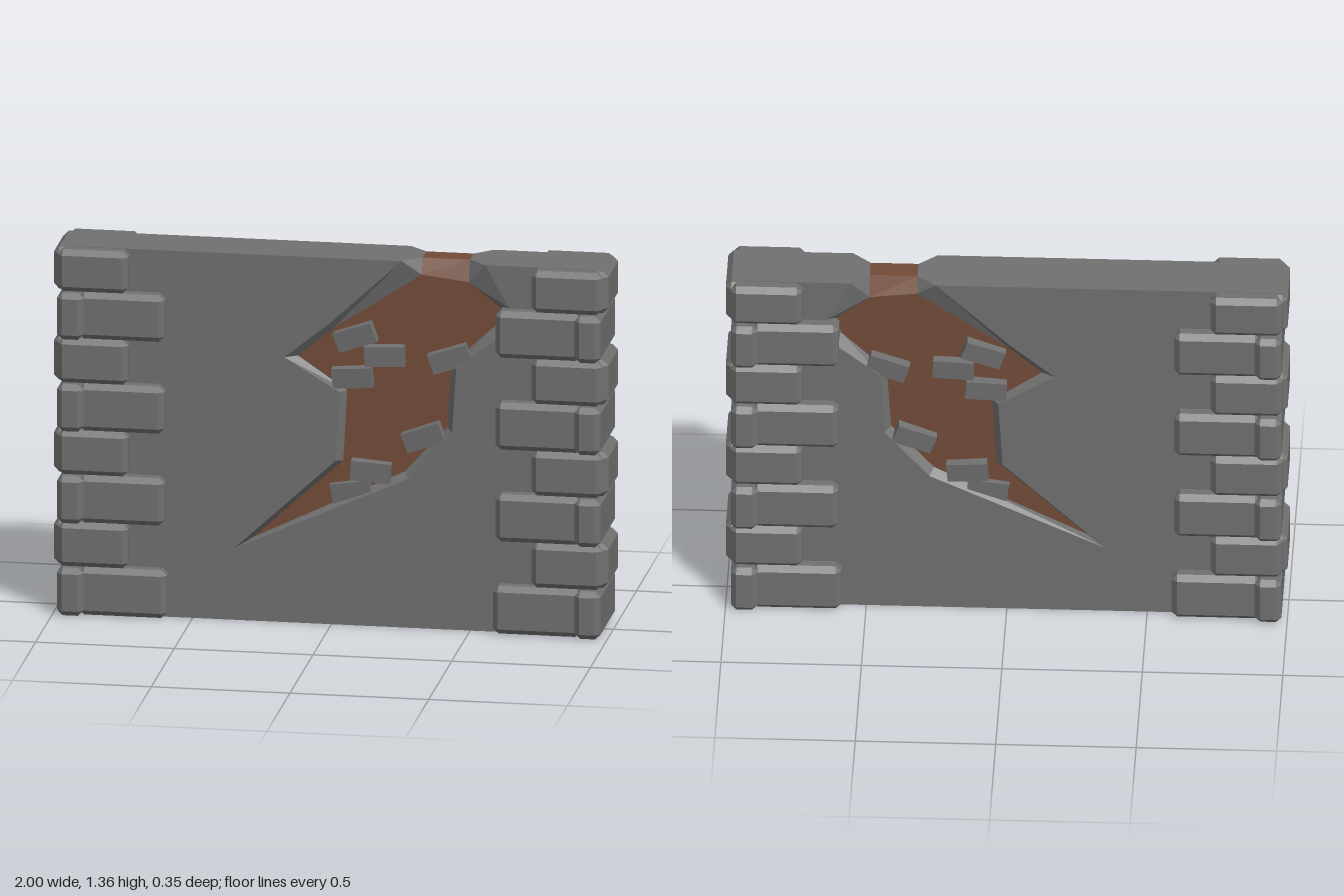
import * as THREE from 'three';
import { ConvexGeometry } from 'three/addons/geometries/ConvexGeometry.js';

const H = 1.355, WALL_X = 0.95, FACE_Z = 0.1, CORE_Z = 0.07, RIDGE_Z = 0.04;

// Break in the wall, from top left round to top right: rim on the face, then edge of the core
const rim = [[0.254, H], [-0.01, 1.11], [-0.17, 0.98], [0.03, 0.86], [0.015, 0.605], [-0.35, 0.265],
  [0.275, 0.55], [0.435, 0.73], [0.45, 0.97], [0.605, 1.09], [0.64, 1.2], [0.555, H]];
const core = [[0.32, 1.3], [0.0, 1.085], [-0.125, 0.98], [0.052, 0.86], [0.038, 0.6], [-0.285, 0.302],
  [0.26, 0.57], [0.413, 0.74], [0.428, 0.975], [0.592, 1.13], [0.605, 1.19], [0.49, 1.28]];

function shapeOf(points) {
  return new THREE.Shape(points.map(([x, y]) => new THREE.Vector2(x, y)));
}

// Flat-shaded surface from convex polygons
function facets(polygons) {
  const pos = [];
  for (const p of polygons) {
    for (let i = 1; i < p.length - 1; i++) pos.push(...p[0], ...p[i], ...p[i + 1]);
  }
  const g = new THREE.BufferGeometry();
  g.setAttribute('position', new THREE.Float32BufferAttribute(pos, 3));
  g.computeVertexNormals();
  return g;
}

// Flat outline facing the front (s = 1) or the back (s = -1)
function outline(shape, s, z) {
  const g = new THREE.ShapeGeometry(shape);
  if (s < 0) {
    g.index.array.reverse();
    g.computeVertexNormals();
  }
  return g.translate(0, 0, z);
}

// Box with every edge cut off
function chamferBox(w, h, d, c) {
  const pts = [];
  for (const sx of [-1, 1]) for (const sy of [-1, 1]) for (const sz of [-1, 1]) {
    for (let k = 0; k < 3; k++) {
      const cut = [c, c, c];
      cut[k] = 0;
      pts.push(new THREE.Vector3(sx * (w / 2 - cut[0]), sy * (h / 2 - cut[1]), sz * (d / 2 - cut[2])));
    }
  }
  return new ConvexGeometry(pts);
}

export function createModel() {
  const model = new THREE.Group();
  const material = (name, color) => {
    const m = new THREE.MeshStandardMaterial({ color, side: THREE.DoubleSide });
    m.name = name;
    return m;
  };
  const stone = material('grey stone', 0x707070);
  const clay = material('brown clay', 0x724b38);
  const grass = material('green grass', 0x8cb858);

  function add(name, geometry, mat, parent = model) {
    const mesh = new THREE.Mesh(geometry, mat);
    mesh.name = name;
    parent.add(mesh);
    return mesh;
  }

  // Plaster faces, broken rim and exposed core on both sides
  const faceShape = shapeOf([[-WALL_X, H], [-WALL_X, 0], [WALL_X, 0], [WALL_X, H], ...rim.slice().reverse()]);
  const coreShape = shapeOf(core);
  for (const s of [1, -1]) {
    const side = s > 0 ? 'front' : 'back';
    const rimZ = s * FACE_Z, coreZ = s * CORE_Z, ridge = s * RIDGE_Z;
    add(side + 'Face', outline(faceShape, s, rimZ), stone);
    add(side + 'Core', outline(coreShape, s, coreZ), clay);

    const order = (p) => (s > 0 ? p : p.slice().reverse());
    const bevel = [];
    for (let i = 0; i < rim.length - 1; i++) {
      const a = [...rim[i], rimZ], b = [...rim[i + 1], rimZ];
      const c = [...core[i + 1], coreZ], d = [...core[i], coreZ];
      bevel.push(order([a, b, c]), order([a, c, d]));
    }
    bevel.push(order([[0.254, H, rimZ], [...core[0], coreZ], [0.32, H, ridge]]));
    bevel.push(order([[0.555, H, rimZ], [0.49, H, ridge], [...core[11], coreZ]]));
    add(side + 'BrokenRim', facets(bevel), stone);
    add(side + 'CoreSlope', facets([order([[...core[0], coreZ], [...core[11], coreZ],
      [0.49, H, ridge], [0.32, H, ridge]])]), clay);
  }

  // Top of the wall on either side of the notch
  const z = FACE_Z, r = RIDGE_Z;
  add('coreTop', facets([[[0.32, H, r], [0.49, H, r], [0.49, H, -r], [0.32, H, -r]]]), clay);
  add('wallTop', facets([
    [[-WALL_X, H, z], [0.254, H, z], [0.32, H, r], [0.32, H, -r], [0.254, H, -z], [-WALL_X, H, -z]],
    [[WALL_X, H, -z], [0.555, H, -z], [0.49, H, -r], [0.49, H, r], [0.555, H, z], [WALL_X, H, z]],
  ]), stone);

  // Grass underside
  add('underside', new THREE.PlaneGeometry(2 * WALL_X, 2 * FACE_Z).rotateX(Math.PI / 2), grass);

  // Loose bricks in the break: x, y, turn
  const bricks = [[0.085, 1.065, 0.34], [0.19, 1.0, 0.03], [0.075, 0.915, 0.08], [0.425, 1.0, 0.32],
    [0.33, 0.705, 0.36], [0.14, 0.57, -0.08], [0.07, 0.49, 0.15]];
  const brickGeometry = new THREE.BoxGeometry(0.145, 0.074, 0.06);
  for (const s of [1, -1]) {
    bricks.forEach(([x, y, turn], i) => {
      const brick = add('looseBrick', brickGeometry, stone);
      brick.position.set(x, y, s * (i === 6 ? 0.06 : 0.072));
      brick.rotation.set(s * 0.08, s * (i % 2 ? 0.04 : -0.04), turn);
    });
  }

  // Corner stones: eight alternating courses at each end
  const courseY = [0.004, 0.181, 0.345, 0.521, 0.685, 0.86, 1.025, 1.198, 1.353];
  for (const s of [1, -1]) {
    const pillar = new THREE.Group();
    pillar.name = s > 0 ? 'leftCornerStones' : 'rightCornerStones';
    model.add(pillar);
    for (let i = 0; i < 8; i++) {
      const y0 = courseY[i], y1 = courseY[i + 1];
      const block = (name, x0, x1, halfZ) => {
        add(name, chamferBox(x1 - x0, y1 - y0, halfZ * 2, 0.02), stone, pillar)
          .position.set(s * (x0 + x1) / 2, (y0 + y1) / 2, 0);
      };
      if (i % 2 === 0) {
        block('longStone', i === 0 ? 0.588 : 0.597, 0.905, 0.153);
        block('endStone', 0.885, 0.98, 0.175);
      } else {
        block('shortStone', 0.727, 0.982, 0.153);
        block('endStone', 0.88, 1.0, 0.125);
      }
    }
  }
  return model;
}
